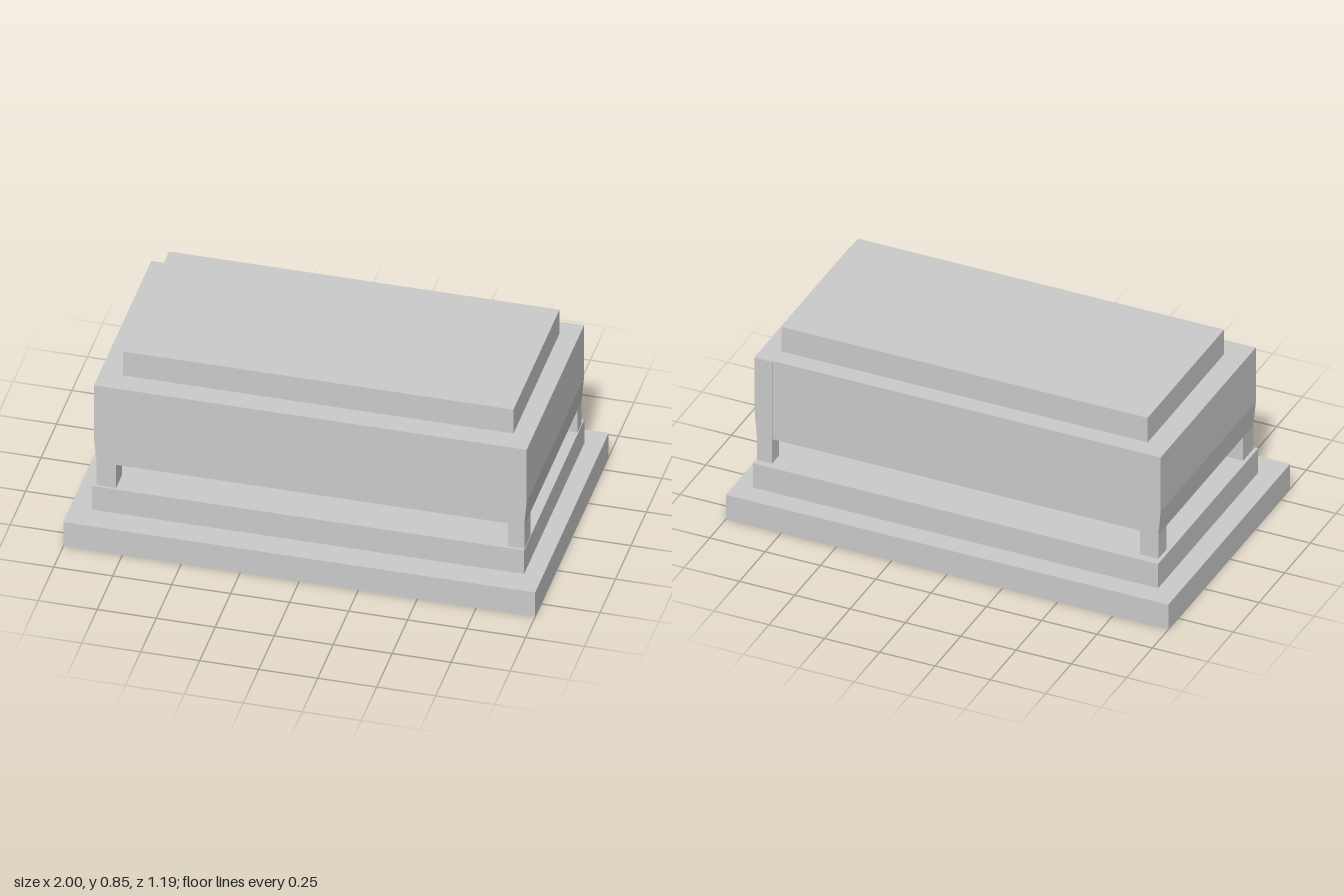
import * as THREE from 'three';

const material = new THREE.MeshStandardMaterial({ color: 0xcccccc, flatShading: true });

// Box given by its limits on each axis
function block(name, [x0, x1], [y0, y1], [z0, z1]) {
  const mesh = new THREE.Mesh(new THREE.BoxGeometry(x1 - x0, y1 - y0, z1 - z0), material);
  mesh.position.set((x0 + x1) / 2, (y0 + y1) / 2, (z0 + z1) / 2);
  mesh.name = name;
  return mesh;
}

// Outline in x and y, extruded from z0 to z1
function slab(name, points, z0, z1) {
  const shape = new THREE.Shape(points.map(([x, y]) => new THREE.Vector2(x, y)));
  const geometry = new THREE.ExtrudeGeometry(shape, { depth: z1 - z0, bevelEnabled: false });
  geometry.translate(0, 0, z0);
  const mesh = new THREE.Mesh(geometry, material);
  mesh.name = name;
  return mesh;
}

export function createModel() {
  const group = new THREE.Group();
  group.name = 'steppedTomb';

  // Two-step base
  group.add(block('baseSlab', [-1, 1], [0, 0.12], [-0.594, 0.594]));
  group.add(block('plinth', [-0.909, 0.922], [0.12, 0.238], [-0.497, 0.477]));

  // Chest, its ends drawn in slightly towards the bottom
  group.add(slab('chest', [
    [-0.893, 0.353], [0.92, 0.353], [0.93, 0.47], [0.93, 0.733], [-0.904, 0.733], [-0.904, 0.47],
  ], -0.461, 0.466));

  // Corner legs leave a low slot on every side
  const legs = [
    ['frontLeftLeg', [0.85, 0.92], [0.366, 0.466]],
    ['frontRightLeg', [-0.893, -0.81], [0.366, 0.466]],
    ['backRightLeg', [-0.893, -0.81], [-0.461, -0.379]],
  ];
  for (const [name, x, z] of legs) group.add(block(name, x, [0.238, 0.353], z));

  // Full-height post at the back left corner, standing slightly proud
  group.add(slab('backLeftPost', [
    [0.85, 0.238], [0.919, 0.238], [0.919, 0.353], [0.929, 0.47], [0.929, 0.731], [0.85, 0.731],
  ], -0.466, -0.399));

  // Lid
  group.add(block('lid', [-0.807, 0.848], [0.733, 0.852], [-0.379, 0.366]));

  return group;
}
